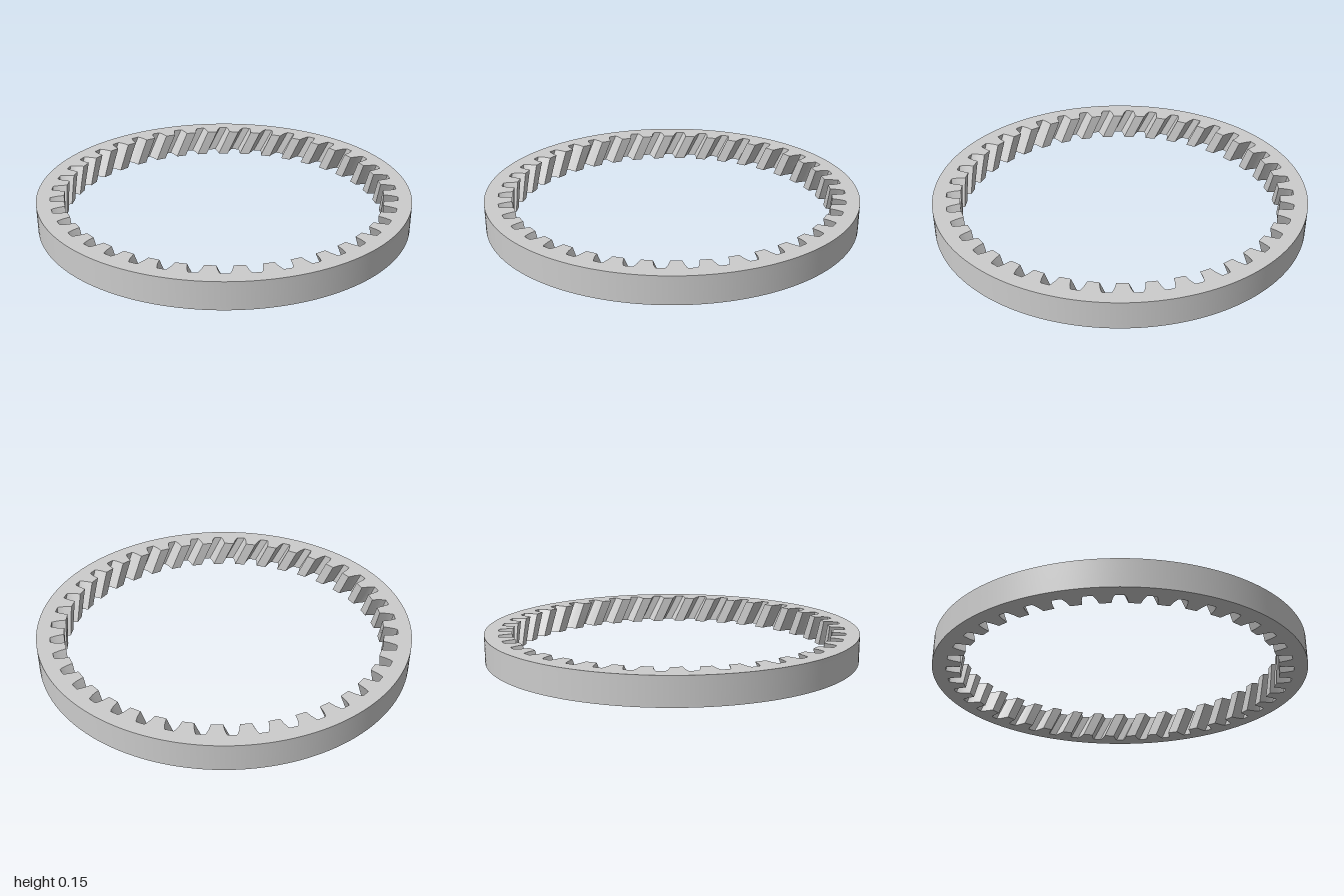
import * as THREE from 'three';
import { toCreasedNormals } from 'three/addons/utils/BufferGeometryUtils.js';

const TEETH = 40, HEIGHT = 0.147;
const deg = THREE.MathUtils.degToRad;
// angle runs clockwise from the back, seen from above
const polar = (r, a) => new THREE.Vector2(r * Math.sin(deg(a)), r * Math.cos(deg(a)));

export function createModel() {
  const group = new THREE.Group();

  // outer rim, wound opposite to the bore
  const rim = [];
  for (let i = 0; i < 240; i++) rim.push(polar(1, -i * 1.5));
  const shape = new THREE.Shape(rim);

  // toothed bore: half of one groove as [radius, half angle], mirrored and repeated
  const half = [[0.855, 2.6], [0.893, 2.15], [0.92, 1.6], [0.928, 1.3]];
  const groove = [
    ...half.map(([r, a]) => [r, -a]),
    ...half.slice().reverse(),
  ];
  const bore = [];
  for (let i = 0; i < TEETH; i++) {
    for (const [r, a] of groove) bore.push(polar(r, a + i * 360 / TEETH));
  }
  shape.holes.push(new THREE.Path(bore));

  const geo = new THREE.ExtrudeGeometry(shape, { depth: HEIGHT, steps: 6, bevelEnabled: false });

  // helical twist from bottom to top
  const p = geo.attributes.position;
  for (let i = 0; i < p.count; i++) {
    const t = deg(-2.5 + 4.5 * p.getZ(i) / HEIGHT);
    const x = p.getX(i), y = p.getY(i), c = Math.cos(t), s = Math.sin(t);
    p.setXY(i, x * c + y * s, y * c - x * s);
  }
  geo.rotateX(-Math.PI / 2);

  const ring = new THREE.Mesh(
    toCreasedNormals(geo, deg(27)),
    new THREE.MeshStandardMaterial({ color: 0xcccccc }),
  );
  ring.name = 'helicalRingGear';
  group.add(ring);
  return group;
}
